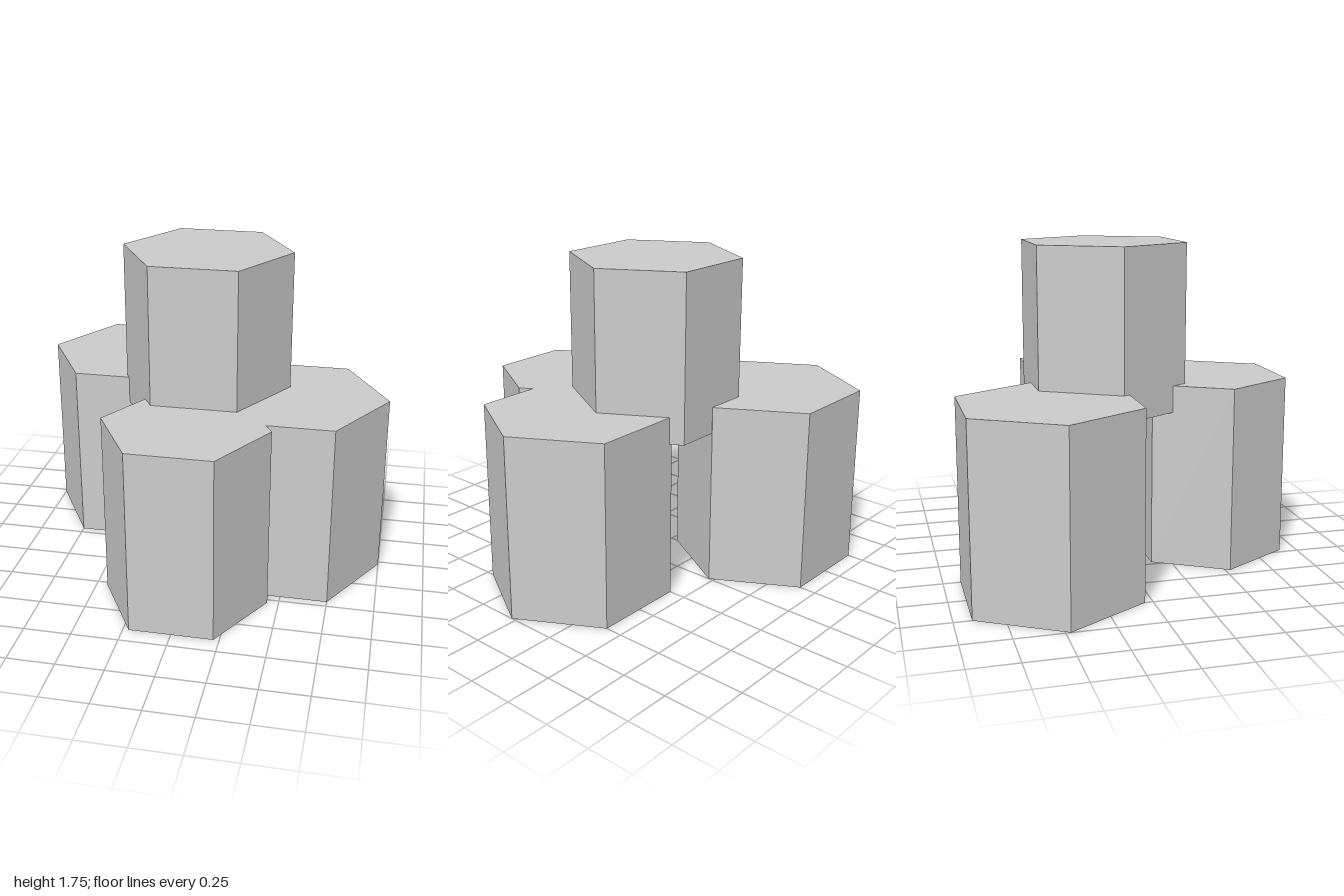
import * as THREE from 'three';

const material = new THREE.MeshStandardMaterial({ color: 0xcccccc, flatShading: true });

// Hexagonal column with two corners pointing along x
function hexColumn(name, radius, bottom, top, x, z) {
  const geometry = new THREE.CylinderGeometry(radius, radius, top - bottom, 6, 1, false, Math.PI / 2);
  const mesh = new THREE.Mesh(geometry, material);
  mesh.name = name;
  mesh.position.set(x, (bottom + top) / 2, z);
  return mesh;
}

export function createModel() {
  const group = new THREE.Group();
  group.name = 'hexagonalColumns';

  group.add(
    // Three standing columns
    hexColumn('backRightColumn', 0.5, 0, 1, -0.5, -0.475),
    hexColumn('leftColumn', 0.5, 0, 1, 0.5, 0.026),
    hexColumn('frontColumn', 0.44, 0, 1, 0, 0.526),
    // Upper column, sunk a little between the others
    hexColumn('upperColumn', 0.459, 0.855, 1.75, 0, -0.075)
  );
  return group;
}
